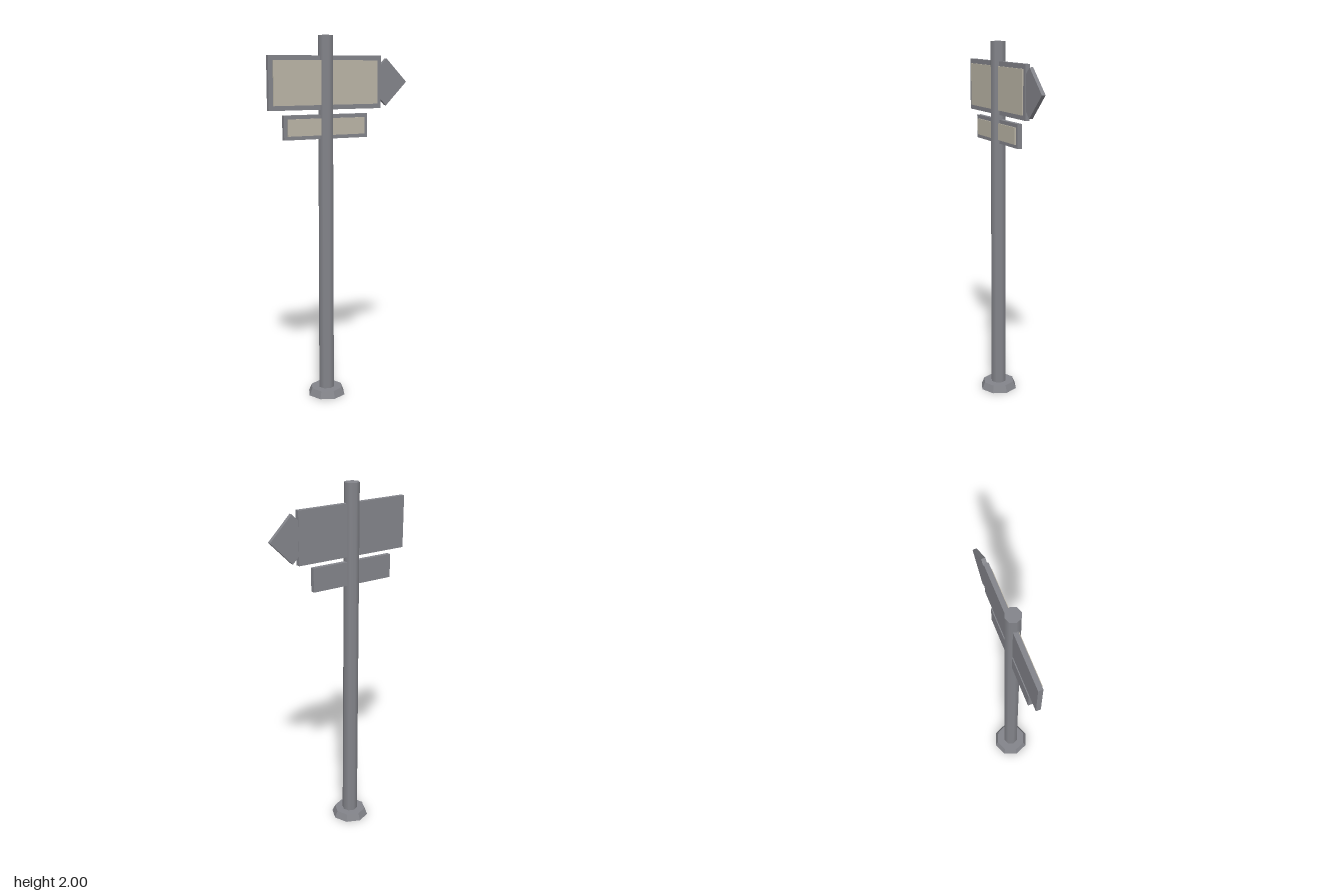
import * as THREE from 'three';

const metal = new THREE.MeshStandardMaterial({ color: 0x83848a });
const metalFlat = new THREE.MeshStandardMaterial({ color: 0x83848a, flatShading: true });
const cream = new THREE.MeshStandardMaterial({ color: 0xbab4a5 });

const POLE_X = -0.083;

function add(parent, name, geometry, material, x, y, z) {
  const mesh = new THREE.Mesh(geometry, material);
  mesh.name = name;
  mesh.position.set(x, y, z);
  parent.add(mesh);
  return mesh;
}

// Rectangular board with a thin pale plate on its front, inset by a border
function signBoard(name, width, height, border, x, y, frontZ) {
  const board = new THREE.Group();
  board.name = name;
  board.position.set(x, y, 0);
  const depth = 0.025, plate = 0.007;
  add(board, 'backing', new THREE.BoxGeometry(width, height, depth), metal, 0, 0, frontZ - depth / 2);
  add(board, 'facePlate', new THREE.BoxGeometry(width - 2 * border, height - 2 * border, plate),
    cream, 0, 0, frontZ + plate / 2);
  return board;
}

export function createModel() {
  const model = new THREE.Group();
  model.name = 'signpost';

  // Octagonal foot and slightly tapered pole
  add(model, 'foot', new THREE.CylinderGeometry(0.09, 0.107, 0.04, 8), metalFlat, POLE_X, 0.02, 0);
  add(model, 'pole', new THREE.CylinderGeometry(0.041, 0.044, 1.96, 8), metal, POLE_X, 1.02, 0);

  // Large direction board, its arrow head a square turned on its corner
  const large = signBoard('largeSign', 0.665, 0.284, 0.025, POLE_X, 1.753, 0.011);
  const arrow = add(large, 'arrowHead', new THREE.BoxGeometry(0.181, 0.181, 0.021), metal,
    0.285 - POLE_X, 0, -0.0015);
  arrow.rotation.z = Math.PI / 4;
  model.add(large);

  // Small board below
  model.add(signBoard('smallSign', 0.495, 0.13, 0.02, POLE_X, 1.52, 0.01));

  return model;
}
